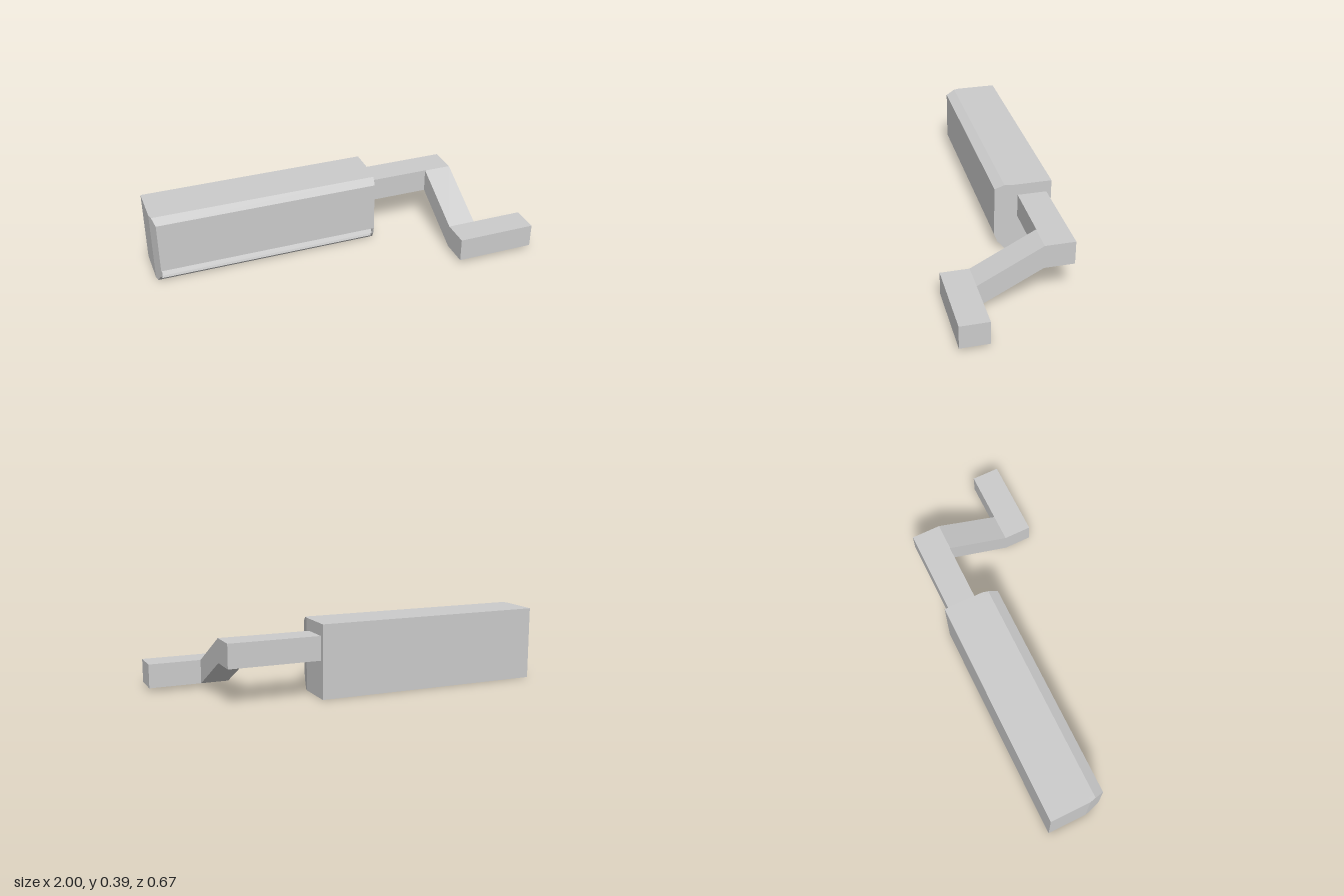
import * as THREE from 'three';

const material = new THREE.MeshStandardMaterial({ color: 0xcccccc, flatShading: true });

function add(group, name, geometry) {
  const mesh = new THREE.Mesh(geometry, material);
  mesh.name = name;
  group.add(mesh);
}

// box given by its limits on each axis
function box(x0, x1, y0, y1, z0, z1) {
  return new THREE.BoxGeometry(x1 - x0, y1 - y0, z1 - z0)
    .translate((x0 + x1) / 2, (y0 + y1) / 2, (z0 + z1) / 2);
}

// extrude a side profile of [z, y] points along x
function sideExtrude(points, x0, x1) {
  const shape = new THREE.Shape(points.map(([z, y]) => new THREE.Vector2(-z, y)));
  return new THREE.ExtrudeGeometry(shape, { depth: x1 - x0, bevelEnabled: false })
    .rotateY(Math.PI / 2).translate(x0, 0, 0);
}

export function createModel() {
  const group = new THREE.Group();
  const left = 0.235, right = -1, wall = 0.025;
  const zBack = -0.333, zTaper = -0.115, zFront = -0.033, top = 0.388;

  // housing: plain back block
  add(group, 'housingBack', box(right, left, 0, top, zBack, zTaper));

  // housing front: chamfered profile, grooved between the two end walls
  const upper = [[zTaper, 0], [zTaper, top], [-0.083, top], [zFront, 0.363], [zFront, 0.088]];
  const plain = [...upper, [-0.05, 0.042], [-0.088, 0]];
  const grooved = [...upper, [-0.065, 0.072], [-0.052, 0.046], [-0.072, 0.04],
    [-0.066, 0.022], [-0.088, 0]];
  add(group, 'housingFront', sideExtrude(grooved, right + wall, left - wall));

  // end walls: outer faces slope inward toward the front
  for (const [name, outer, inner] of [['leftEndWall', left, left - wall], ['rightEndWall', right, right + wall]]) {
    const geometry = sideExtrude(plain, Math.min(outer, inner), Math.max(outer, inner));
    const p = geometry.attributes.position;
    for (let i = 0; i < p.count; i++) {
      if (Math.abs(p.getX(i) - outer) > 0.001) continue;
      const t = (p.getZ(i) - zTaper) / (zFront - zTaper);
      p.setX(i, outer + Math.sign(inner - outer) * 0.02 * t);
    }
    geometry.computeVertexNormals();
    add(group, name, geometry);
  }

  // crank: shaft, sloping arm and handle
  add(group, 'crankShaft', box(left - 0.02, 0.573, 0.198, 0.325, -0.307, -0.152));
  add(group, 'crankArm', sideExtrude([
    [0.333, 0.02], [0.333, 0.147], [0.183, 0.147], [-0.15, 0.325],
    [-0.307, 0.325], [-0.307, 0.198], [-0.15, 0.198], [0.183, 0.02],
  ], 0.573, 0.722));
  add(group, 'crankHandle', box(0.722, 1, 0.02, 0.147, 0.183, 0.333));
  return group;
}
